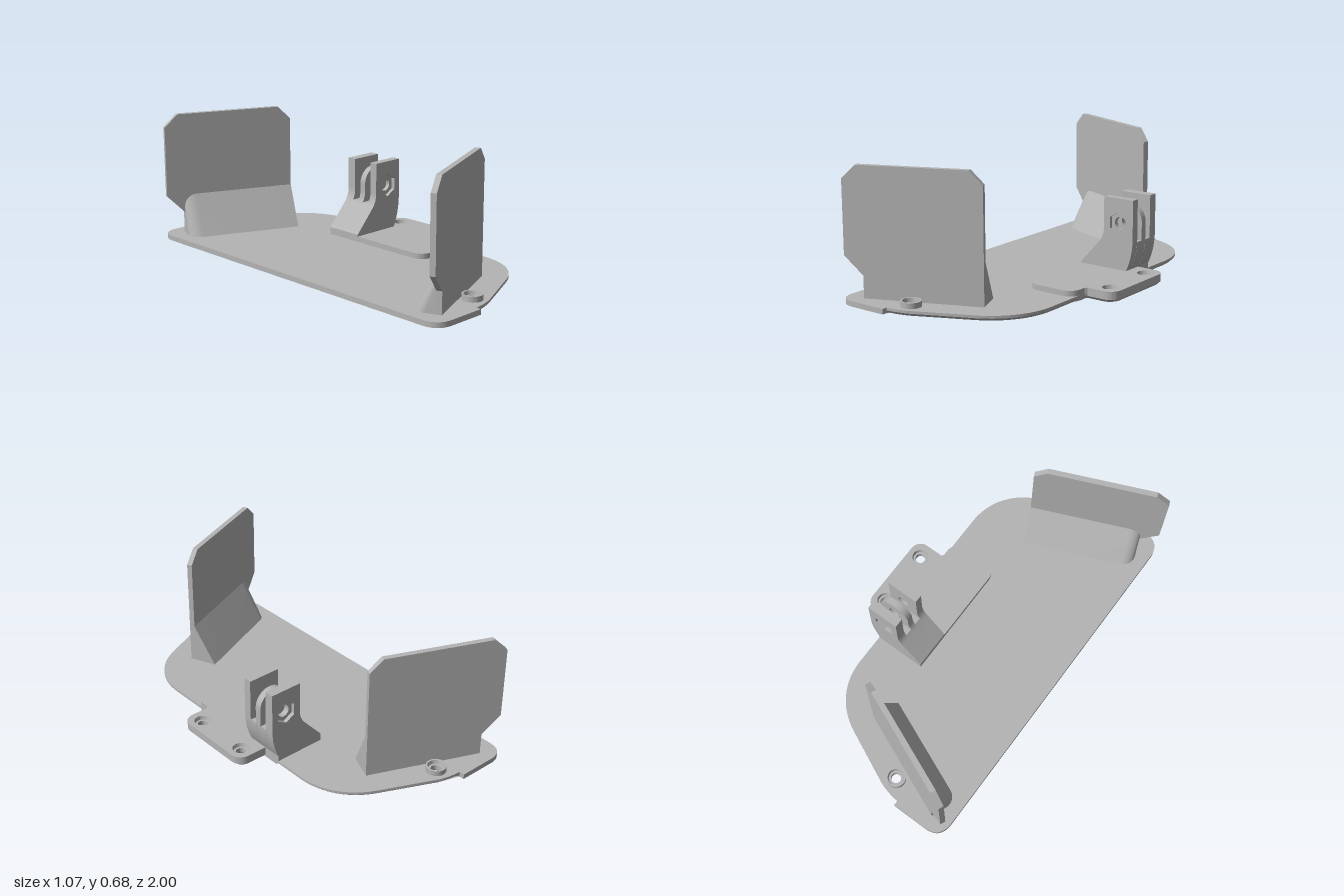
import * as THREE from 'three';
import { toCreasedNormals } from 'three/addons/utils/BufferGeometryUtils.js';

const grey = new THREE.MeshStandardMaterial({ color: 0xb4b4b4, side: THREE.DoubleSide });
grey.name = 'grey plastic';

function add(parent, name, geometry) {
  const mesh = new THREE.Mesh(toCreasedNormals(geometry, 0.6), grey);
  mesh.name = name;
  parent.add(mesh);
  return mesh;
}

function hole(shape, x, y, r, sides = 32, turn = 0) {
  const pts = [];
  for (let i = 0; i < sides; i++) {
    const a = turn + (i / sides) * Math.PI * 2;
    pts.push(new THREE.Vector2(x + r * Math.cos(a), y + r * Math.sin(a)));
  }
  shape.holes.push(new THREE.Path(pts));
}

const extrude = (shape, depth, steps = 1) =>
  new THREE.ExtrudeGeometry(shape, { depth, steps, bevelEnabled: false, curveSegments: 16 });

// Lays an extruded plan (x, z) flat on the ground and tucks its lower rim in by a rule
function slab(shape, height, steps, tuck) {
  const g = extrude(shape, height, steps).rotateX(Math.PI / 2).translate(0, height, 0);
  const p = g.attributes.position;
  for (let i = 0; i < p.count; i++) {
    const x = p.getX(i), z = p.getZ(i);
    const nearHole = bosses.some(([bx, bz]) => Math.hypot(x - bx, z - bz) < 0.053);
    if (p.getY(i) < 0.001 && !nearHole) {
      const [nx, nz] = tuck(x, z);
      p.setXYZ(i, nx, 0, nz);
    }
  }
  return g;
}

const bosses = [[-0.17, -0.885], [-0.17, 0.885], [0.46, -0.16], [0.46, 0.15]];
const BASE = 0.027, PAD = 0.055;

function basePlate() {
  const s = new THREE.Shape();
  s.moveTo(-0.535, -0.91);
  s.quadraticCurveTo(-0.53, -0.995, -0.45, -1);
  s.lineTo(-0.245, -1);
  s.lineTo(-0.245, -0.973);
  s.quadraticCurveTo(-0.19, -0.97, -0.13, -0.95);
  s.lineTo(0.165, -0.815);
  s.bezierCurveTo(0.29, -0.755, 0.365, -0.64, 0.365, -0.5);
  s.lineTo(0.365, 0.5);
  s.bezierCurveTo(0.365, 0.64, 0.29, 0.755, 0.165, 0.815);
  s.lineTo(-0.13, 0.95);
  s.quadraticCurveTo(-0.19, 0.97, -0.245, 0.973);
  s.lineTo(-0.245, 1);
  s.lineTo(-0.45, 1);
  s.quadraticCurveTo(-0.53, 0.995, -0.535, 0.91);
  for (const [x, z] of bosses.slice(0, 2)) hole(s, x, z, 0.05);
  return slab(s, BASE, 2, (x, z) => (x > -0.24 ? [x - 0.022 * (x + 0.24), z * 0.986] : [x, z]));
}

function raisedPad() {
  const s = new THREE.Shape(), r = 0.06;
  s.moveTo(0.09 + r, -0.335);
  s.lineTo(0.365, -0.335);
  s.lineTo(0.365, -0.235);
  s.lineTo(0.53 - r, -0.235);
  s.absarc(0.53 - r, -0.235 + r, r, -Math.PI / 2, 0);
  s.lineTo(0.53, 0.225 - r);
  s.absarc(0.53 - r, 0.225 - r, r, 0, Math.PI / 2);
  s.lineTo(0.375, 0.225);
  s.lineTo(0.365, 0.235);
  s.lineTo(0.365, 0.33 - r);
  s.absarc(0.365 - r, 0.33 - r, r, 0, Math.PI / 2);
  s.lineTo(0.09 + r, 0.33);
  s.absarc(0.09 + r, 0.33 - r, r, Math.PI / 2, Math.PI);
  s.lineTo(0.09, -0.335 + r);
  s.absarc(0.09 + r, -0.335 + r, r, Math.PI, Math.PI * 1.5);
  for (const [x, z] of bosses.slice(2)) hole(s, x, z, 0.05);
  return slab(s, PAD, 4, (x, z) => (x > 0.36 ? [x - 0.08 * (x - 0.36), z * 0.95] : [x, z]));
}

// Countersunk ring around a screw hole
function boss() {
  const profile = [[0.033, 0], [0.051, 0], [0.051, PAD], [0.042, PAD], [0.038, 0.035],
    [0.026, 0.035], [0.026, 0.008], [0.033, 0]];
  return new THREE.LatheGeometry(profile.map(([x, y]) => new THREE.Vector2(x, y)), 32);
}

// Side profile of the hinge mount: full height, low filler or round-topped centre
function mountShape(kind) {
  const s = new THREE.Shape();
  s.moveTo(0.09, 0.02);
  s.lineTo(0.09, 0.065);
  s.lineTo(0.2, 0.187);
  if (kind === 'filler') {
    s.lineTo(0.213, 0.204);
    s.lineTo(0.402, 0.204);
  } else {
    s.quadraticCurveTo(0.228, 0.22, 0.228, 0.265);
    if (kind === 'round') {
      s.lineTo(0.228, 0.295);
      s.absarc(0.315, 0.297, 0.087, Math.PI, 0, true);
    } else {
      s.lineTo(0.228, 0.425);
      s.lineTo(0.402, 0.425);
    }
    s.lineTo(0.402, 0.215);
  }
  s.quadraticCurveTo(0.4, 0.13, 0.365, PAD);
  s.lineTo(0.365, 0.02);
  return s;
}

function hingeMount() {
  const group = new THREE.Group();
  group.name = 'hingeMount';
  // name, profile, back z, front z, hole radius, hole sides
  const slices = [
    ['backProngNutSeat', 'full', -0.335, -0.315, 0.059, 6],
    ['backProng', 'full', -0.315, -0.285, 0.033, 32],
    ['slotFloorBack', 'filler', -0.285, -0.245, 0, 0],
    ['middleProng', 'round', -0.245, -0.21, 0.033, 32],
    ['slotFloorFront', 'filler', -0.21, -0.17, 0, 0],
    ['frontProng', 'full', -0.17, -0.147, 0.033, 32],
    ['frontProngNutSeat', 'full', -0.147, -0.127, 0.059, 6],
  ];
  for (const [name, kind, z0, z1, r, sides] of slices) {
    const s = mountShape(kind);
    if (r) hole(s, 0.315, 0.293, r, sides, Math.PI / 2);
    add(group, name, extrude(s, z1 - z0).translate(0, 0, z0));
  }
  return group;
}

// Wedge behind a wall: ruled surface from a rounded outline on the wall to one on the plate
function gusset() {
  const u0 = 0.095, u1 = 0.695, t = 0.028, d = 0.147, top = 0.237, r = 0.065, n = 10;
  const wall = [[u1, top, t]], foot = [[u1, BASE, d]];
  for (let i = 0; i <= n; i++) {
    const a = (i / n) * Math.PI / 2, c = r * (1 - Math.sin(a)), e = r * (1 - Math.cos(a));
    wall.push([u0 + c, top - e, t]);
    foot.push([u0 + c, BASE, d - e]);
  }
  wall.push([u0, BASE, t]);
  foot.push([u0, BASE, t]);
  const pos = [];
  for (let i = 0; i < wall.length - 1; i++) {
    pos.push(...wall[i], ...wall[i + 1], ...foot[i]);
    if (i < wall.length - 2) pos.push(...wall[i + 1], ...foot[i + 1], ...foot[i]);
  }
  pos.push(u1, BASE, t, ...wall[0], ...foot[0]); // flat triangular end
  const g = new THREE.BufferGeometry();
  g.setAttribute('position', new THREE.Float32BufferAttribute(pos, 3));
  g.computeVertexNormals();
  return g;
}

function wallUnit(name) {
  const group = new THREE.Group();
  group.name = name;
  const outline = [[0.095, 0.01], [0.095, 0.14], [0, 0.235], [0, 0.61], [0.07, 0.677],
    [0.628, 0.677], [0.695, 0.61], [0.695, 0.01]];
  add(group, 'wallPanel', extrude(new THREE.Shape(outline.map(([x, y]) => new THREE.Vector2(x, y))), 0.028));
  add(group, 'gusset', gusset());
  group.position.set(-0.52, 0, -0.968);
  group.rotation.y = -0.399;
  return group;
}

export function createModel() {
  const model = new THREE.Group();
  model.name = 'bracket';
  add(model, 'basePlate', basePlate());
  add(model, 'raisedPad', raisedPad());
  for (const [x, z] of bosses) add(model, 'screwBoss', boss()).position.set(x, 0, z);
  model.add(hingeMount());

  // Angled walls, mirrored front to back
  model.add(wallUnit('backWall'));
  const mirror = new THREE.Group();
  mirror.name = 'frontSide';
  mirror.scale.z = -1;
  mirror.add(wallUnit('frontWall'));
  model.add(mirror);
  return model;
}
